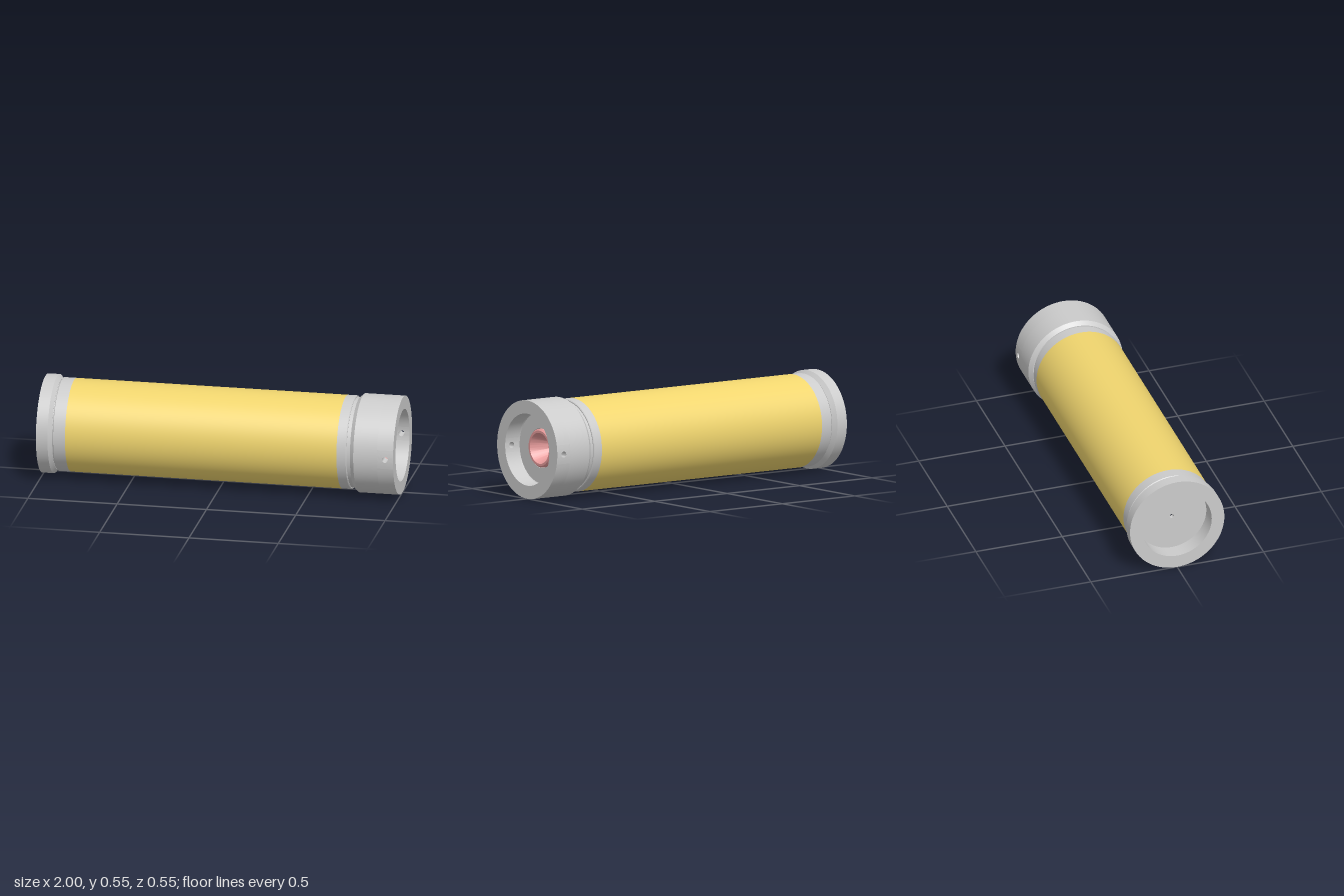
import * as THREE from 'three';
import { toCreasedNormals } from 'three/addons/utils/BufferGeometryUtils.js';
import { ParametricGeometry } from 'three/addons/geometries/ParametricGeometry.js';

const R = 0.273;          // outer radius of both end caps
const BORE = 0.2;         // radius of the end recesses
const PIN = 0.012;        // central sight hole
const HOLE = { x: 0.955, r: 0.017, half: 0.045, angle: Math.PI / 16 };

const grey = new THREE.MeshStandardMaterial({ color: 0xcccccc });
const greyThin = new THREE.MeshStandardMaterial({ color: 0xcccccc, side: THREE.DoubleSide });
const yellow = new THREE.MeshStandardMaterial({ color: 0xf0d56e });
const pink = new THREE.MeshStandardMaterial({ color: 0xe89c9c, side: THREE.DoubleSide });

export function createModel() {
  const model = new THREE.Group();
  model.name = 'cylinderAssembly';
  const body = new THREE.Group();
  body.name = 'body';
  body.position.y = R;
  model.add(body);

  const add = (name, geometry, material) => {
    const mesh = new THREE.Mesh(toCreasedNormals(geometry, 0.5), material);
    mesh.name = name;
    body.add(mesh);
    return mesh;
  };

  // Turned part: profile of [radius, x], revolved about the x axis
  const turn = (name, profile, material = grey, start = 0, sweep = Math.PI * 2) => {
    const points = profile.map(([r, x]) => new THREE.Vector2(r, x));
    const segments = Math.round(96 * sweep / (Math.PI * 2));
    const geometry = new THREE.LatheGeometry(points, segments, start, sweep);
    return add(name, geometry.rotateZ(-Math.PI / 2), material);
  };

  // Main tube: coloured sleeve between two plain collars
  turn('sleeve', [[0.258, -0.84], [0.258, 0.68]], yellow);
  turn('rightCollar', [[0.24, -0.91], [0.254, -0.91], [0.258, -0.906], [0.258, -0.84]]);
  turn('leftCollar', [[0.258, 0.68], [0.258, 0.731], [0.254, 0.735], [0.24, 0.735]]);

  // Grooves beside the caps
  turn('rightGroove', [[0.247, -0.925], [0.247, -0.9]]);
  turn('leftGroove', [[0.249, 0.725], [0.249, 0.77]]);

  // Short end cap with a recess and a pierced floor
  turn('shortCap', [
    [PIN, -0.88], [PIN, -0.905], [BORE, -0.905], [BORE, -1],
    [R, -1], [R, -0.935], [0.25, -0.915], [0.24, -0.915],
  ]);

  // Long end cap: outer skirt, end face, recess floor and socket
  turn('longCap', [[0.24, 0.755], [0.254, 0.755], [R, 0.777], [R, 0.91]]);
  turn('longCapEndFace', [[R, 1], [BORE, 1]]);
  turn('recessFloor', [
    [BORE, 0.91], [BORE, 0.908], [0.196, 0.903], [0.11, 0.903], [0.11, 0.87], [0.09, 0.87],
  ]);

  // Rim of the long cap, drilled crosswise at front and back
  const { angle, half } = HOLE;
  const onCylinder = (r, x, theta, side, target) =>
    target.set(x, r * Math.sin(theta), side * r * Math.cos(theta));
  for (const side of [1, -1]) {
    const start = side > 0 ? angle : Math.PI + angle;
    const sweep = Math.PI - 2 * angle;
    turn('rimOutside', [[R, 0.91], [R, 1]], grey, start, sweep);
    turn('rimInside', [[BORE, 1], [BORE, 0.91]], grey, start, sweep);

    // Square wall patches with a round opening
    for (const r of [R, BORE]) {
      const patch = new ParametricGeometry((u, v, target) => {
        const c = Math.cos(u * Math.PI * 2), s = Math.sin(u * Math.PI * 2);
        const k = 1 / Math.max(Math.abs(c), Math.abs(s));
        const x = THREE.MathUtils.lerp(HOLE.r * c, half * k * c, v);
        const theta = THREE.MathUtils.lerp(Math.asin(HOLE.r * s / r), angle * k * s, v);
        onCylinder(r, HOLE.x + x, theta, side, target);
      }, 32, 3);
      add('drilledWall', patch, greyThin);
    }

    // Wall of the drilled hole
    const wall = new ParametricGeometry((u, v, target) => {
      const a = u * Math.PI * 2;
      const r = THREE.MathUtils.lerp(BORE, R, v);
      const y = HOLE.r * Math.sin(a);
      onCylinder(r, HOLE.x + HOLE.r * Math.cos(a), Math.asin(y / r), side, target);
    }, 32, 1);
    add('crossHole', wall, greyThin);
  }

  // Coloured funnel seated in the recess floor
  turn('funnel', [
    [0.107, 0.87], [0.107, 0.906], [0.098, 0.916], [0.086, 0.916], [0.084, 0.912], [0.037, 0.79],
  ], pink);

  // Cross-shaped spider at the throat, over a backing disc, both pierced
  const disc = () => {
    const shape = new THREE.Shape().absarc(0, 0, 0.042, 0, Math.PI * 2);
    shape.holes.push(new THREE.Path().absarc(0, 0, PIN, 0, Math.PI * 2, true));
    return shape;
  };
  const spider = disc();
  for (let i = 0; i < 4; i++) {
    const mid = Math.PI / 4 + i * Math.PI / 2;
    spider.holes.push(new THREE.Path().absarc(
      0.029 * Math.cos(mid), 0.029 * Math.sin(mid), 0.01, 0, Math.PI * 2, true));
  }
  const plate = (name, shape, x, depth) => {
    const geometry = new THREE.ExtrudeGeometry(shape, { depth, bevelEnabled: false, curveSegments: 32 });
    add(name, geometry.rotateY(Math.PI / 2).translate(x, 0, 0), grey);
  };
  plate('spider', spider, 0.782, 0.008);
  plate('throatDisc', disc(), 0.77, 0.008);

  return model;
}
